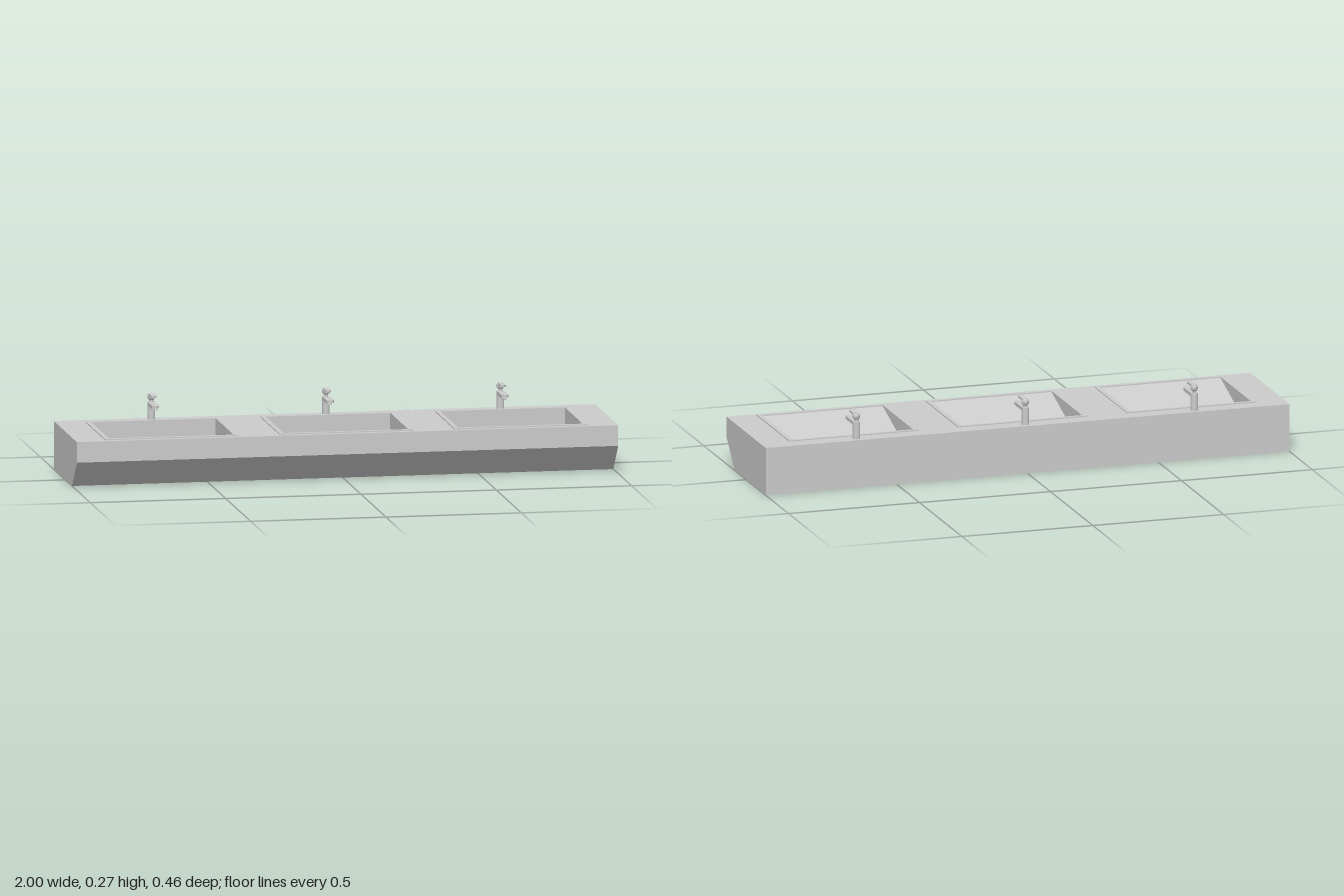
import * as THREE from 'three';

const grey = new THREE.MeshStandardMaterial({ color: 0xcccccc });

function add(parent, geometry, name) {
  const mesh = new THREE.Mesh(geometry, grey);
  mesh.name = name;
  parent.add(mesh);
  return mesh;
}

// Flat convex faces, each given as a counter-clockwise loop of [x, y, z]
function faces(loops) {
  const pos = [];
  for (const p of loops)
    for (let i = 1; i < p.length - 1; i++) pos.push(...p[0], ...p[i], ...p[i + 1]);
  const g = new THREE.BufferGeometry();
  g.setAttribute('position', new THREE.Float32BufferAttribute(pos, 3));
  g.computeVertexNormals();
  return g;
}

// Plan rectangle (x, z) as a path; plan shapes store -z as y
function rect(path, x0, x1, z0, z1) {
  path.moveTo(x0, -z1);
  path.lineTo(x1, -z1);
  path.lineTo(x1, -z0);
  path.lineTo(x0, -z0);
  path.closePath();
  return path;
}

function plate(shape, y0, y1) {
  const g = new THREE.ExtrudeGeometry(shape, { depth: y1 - y0, bevelEnabled: false, curveSegments: 12 });
  return g.rotateX(-Math.PI / 2).translate(0, y0, 0);
}

// Plan shape with rounded ends, running from z0 (back) to z1 (front)
function stadium(r, z0, z1) {
  const s = new THREE.Shape();
  s.absarc(0, -(z0 + r), r, 0, Math.PI);
  s.absarc(0, -(z1 - r), r, Math.PI, Math.PI * 2);
  s.closePath();
  return s;
}

const TOP = 0.178, RIM = 0.182;
const CENTRES = [-0.645, 0, 0.645];
const HALF = 0.23, Z_BACK = -0.16, Z_FRONT = 0.197, FLOOR = 0.065;

function makeCounter() {
  const counter = new THREE.Group();
  counter.name = 'counter';
  // Side profile (z, y) from top back round to top front
  const profile = [[-0.231, TOP], [-0.231, 0], [0.134, 0], [0.232, 0.102], [0.232, TOP]];
  const at = (x, [z, y]) => [x, y, z];
  const loops = [profile.map(p => at(-1, p)), profile.map(p => at(1, p)).reverse()];
  for (let i = 0; i < 4; i++) {
    const p = profile[i], q = profile[i + 1];
    loops.push([at(1, p), at(1, q), at(-1, q), at(-1, p)]);
  }
  add(counter, faces(loops), 'counterBody');

  // Top surface with basin openings
  const top = rect(new THREE.Shape(), -1, 1, -0.231, 0.232);
  for (const c of CENTRES) top.holes.push(rect(new THREE.Path(), c - HALF, c + HALF, Z_BACK, Z_FRONT));
  add(counter, new THREE.ShapeGeometry(top).rotateX(-Math.PI / 2).translate(0, TOP, 0), 'counterTop');
  return counter;
}

function makeBasin() {
  const basin = new THREE.Group();
  basin.name = 'basin';

  // Raised rim
  const frame = rect(new THREE.Shape(), -0.247, 0.247, -0.173, 0.212);
  frame.holes.push(rect(new THREE.Path(), -HALF, HALF, Z_BACK, Z_FRONT));
  add(basin, plate(frame, TOP, RIM), 'basinRim');

  // Wedge-shaped bowl: floor slopes down from the front to the back wall
  const corner = s => ({
    low: [s * HALF, FLOOR, Z_BACK], back: [s * HALF, TOP, Z_BACK], front: [s * HALF, TOP, Z_FRONT]
  });
  const a = corner(-1), b = corner(1);
  add(basin, faces([
    [a.low, b.low, b.back, a.back],
    [a.low, a.front, b.front, b.low],
    [a.back, a.front, a.low],
    [b.low, b.front, b.back]
  ]), 'bowl');

  // Drain lying on the slope
  const slope = (TOP - FLOOR) / (Z_FRONT - Z_BACK), z = -0.115;
  const drain = new THREE.Group();
  drain.name = 'drain';
  drain.position.set(0, FLOOR + slope * (z - Z_BACK), z);
  drain.rotation.x = -Math.atan(slope);
  add(drain, new THREE.TorusGeometry(0.011, 0.0015, 8, 24).rotateX(Math.PI / 2), 'drainRing');
  add(drain, new THREE.CylinderGeometry(0.008, 0.008, 0.002, 24), 'drainPlug');
  basin.add(drain);
  return basin;
}

function makeFaucet() {
  const faucet = new THREE.Group();
  faucet.name = 'faucet';
  const r = 0.0135;
  add(faucet, plate(stadium(r, -0.218, -0.188), TOP, 0.243), 'faucetColumn');

  // Spout, thinned underneath towards its rounded tip
  const spout = plate(stadium(r, -0.218, -0.105), 0.231, 0.243);
  const p = spout.attributes.position;
  for (let i = 0; i < p.count; i++) {
    const t = (p.getZ(i) + 0.1185) / r;
    if (p.getY(i) < 0.235 && t > 0) p.setY(i, 0.231 + 0.006 * t * t);
  }
  spout.computeVertexNormals();
  add(faucet, spout, 'spout');

  // Curved joint under the spout
  const joint = new THREE.Shape();
  joint.moveTo(0.200, 0.232);
  joint.lineTo(0.176, 0.232);
  joint.quadraticCurveTo(0.188, 0.232, 0.188, 0.218);
  joint.lineTo(0.200, 0.218);
  joint.closePath();
  add(faucet, new THREE.ExtrudeGeometry(joint, { depth: 0.018, bevelEnabled: false })
    .rotateY(Math.PI / 2).translate(-0.009, 0, 0), 'spoutJoint');

  const nozzle = add(faucet, new THREE.CylinderGeometry(0.008, 0.008, 0.012, 20), 'nozzle');
  nozzle.position.set(0, 0.230, -0.120);
  nozzle.rotation.x = -0.2;

  // Neck and lever handle
  const neck = add(faucet, new THREE.CylinderGeometry(0.0075, 0.0075, 0.012, 20), 'handleNeck');
  neck.position.set(0, 0.247, -0.2025);
  const hub = [[0, 0.25], [0.008, 0.25], [r, 0.257], [r, 0.268], [0.009, 0.273], [0, 0.273]]
    .map(([x, y]) => new THREE.Vector2(x, y));
  add(faucet, new THREE.LatheGeometry(hub, 24).translate(0, 0, -0.2025), 'handleHub');
  add(faucet, plate(stadium(0.0105, -0.212, -0.143), 0.266, 0.2735), 'handleLever');
  return faucet;
}

export function createModel() {
  const model = new THREE.Group();
  model.name = 'tripleWashbasin';
  model.add(makeCounter());
  for (const c of CENTRES) {
    const station = new THREE.Group();
    station.name = 'washStation';
    station.position.x = c;
    station.add(makeBasin(), makeFaucet());
    model.add(station);
  }
  return model;
}
